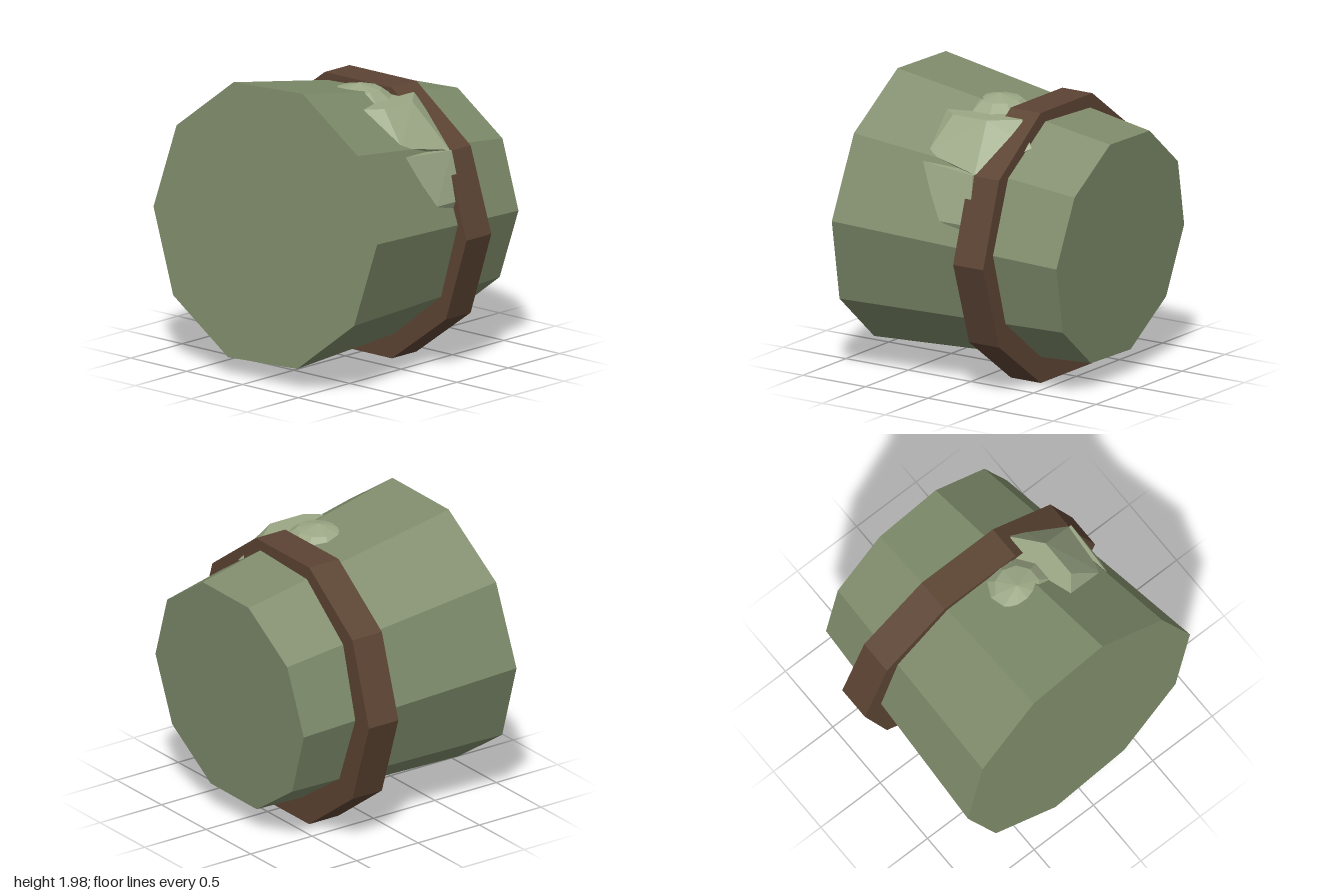
import * as THREE from 'three';
import { ConvexGeometry } from 'three/addons/geometries/ConvexGeometry.js';

const material = (color) => new THREE.MeshStandardMaterial({ color, flatShading: true });
const SIDES = 10;

// Ten-sided drum lying along x, with a corner facing +z
function drum(rightRadius, leftRadius, length, roll = 0) {
  const g = new THREE.CylinderGeometry(rightRadius, leftRadius, length, SIDES, 1, false, -roll);
  return g.rotateZ(-Math.PI / 2);
}

function lump(points) {
  return new ConvexGeometry(points.map((p) => new THREE.Vector3(...p)));
}

export function createModel() {
  const model = new THREE.Group();
  const green = material(0x7f8c6b);
  const brown = material(0x5c4433);
  const pale = material(0x9ca886);

  const add = (name, geometry, mat, x = 0, y = 0, z = 0) => {
    const mesh = new THREE.Mesh(geometry, mat);
    mesh.name = name;
    mesh.position.set(x, y, z);
    model.add(mesh);
    return mesh;
  };

  // Tapered body, tipped slightly down and back towards its narrow end
  const bodyGeometry = drum(0.79, 0.968, 1.645, 0.038);
  bodyGeometry.rotateZ(-0.075).rotateY(0.037);
  add('body', bodyGeometry, green, 0.01, 0.99, 0);

  // Upright band around the narrow half
  add('band', drum(0.97, 0.97, 0.24), brown, 0.28, 0.9225, -0.03);

  // Low dome showing through the top
  add('topMoss', new THREE.SphereGeometry(0.35, 10, 7), pale, -0.02, 1.54, 0.14);

  // Faceted lump on the upper front
  add('upperMoss', lump([
    [-0.26, 1.8, 0.4], [-0.15, 1.8, 0.49], [0.12, 1.8, 0.49], [0.3, 1.8, 0.34],
    [0.12, 1.8, 0.2], [-0.1, 1.8, 0.22],
    [-0.21, 1.58, 0.7], [0.2, 1.5, 0.75], [0.43, 1.64, 0.42],
    [-0.3, 1.5, 0.4], [0, 1.3, 0.4],
  ]), pale);

  // Flatter lump below it
  add('lowerMoss', lump([
    [-0.24, 1.53, 0.74], [0.2, 1.5, 0.77], [-0.02, 1.17, 0.84], [0.22, 1.17, 0.84],
    [0.2, 1.1, 0.81], [-0.2, 1.5, 0.5], [0.2, 1.5, 0.5], [0.1, 1.2, 0.5],
  ]), pale);

  return model;
}
